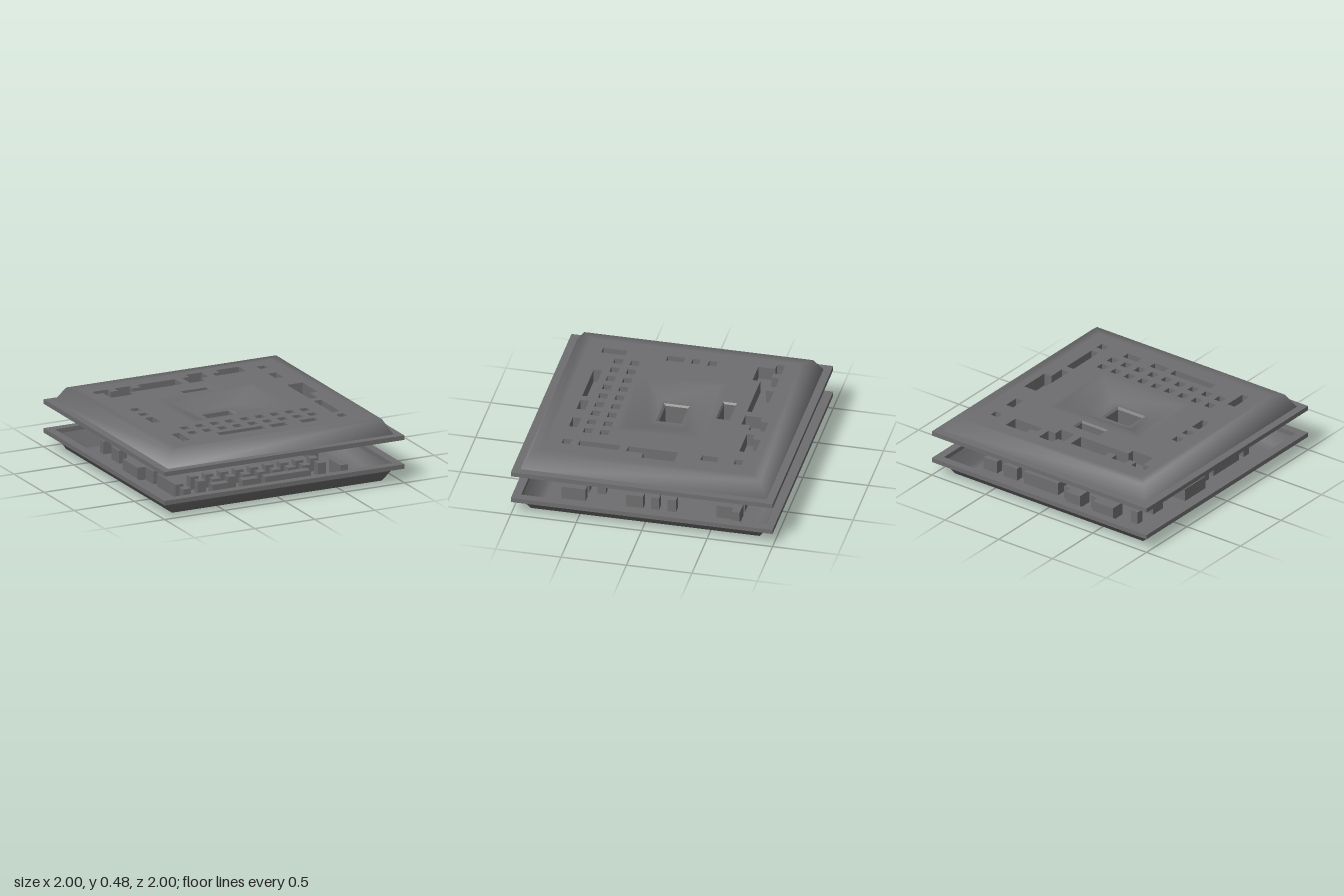
import * as THREE from 'three';

const TOP = 0.48, RIM = 0.37, LIP = 0.335, DISH = 0.4;
const metal = new THREE.MeshStandardMaterial({ color: 0x6e6e70, side: THREE.DoubleSide });
metal.name = 'gunmetal grey';

// Outlines are lists of [x, z], counter-clockwise seen from above
const rect = (x0, x1, z0, z1) => [[x0, z1], [x1, z1], [x1, z0], [x0, z0]];
const square = (h) => rect(-h, h, -h, h);

function toShape(outline, holes = []) {
  const pts = (o) => o.map(([x, z]) => new THREE.Vector2(x, -z));
  const shape = new THREE.Shape(pts(outline));
  shape.holes = holes.map((h) => new THREE.Path(pts(h)));
  return shape;
}

function flatSheet(outline, holes, y) {
  return new THREE.ShapeGeometry(toShape(outline, holes)).rotateX(-Math.PI / 2).translate(0, y, 0);
}

// Skin between successive rings, each { outline, y }
function loft(rings, smooth) {
  const pos = [], index = [], n = rings[0].outline.length;
  rings.forEach(({ outline, y }) => outline.forEach(([x, z]) => pos.push(x, y, z)));
  for (let r = 0; r < rings.length - 1; r++) {
    for (let i = 0; i < n; i++) {
      const j = (i + 1) % n, a = r * n + i, b = r * n + j;
      index.push(a, b, b + n, a, b + n, a + n);
    }
  }
  let g = new THREE.BufferGeometry();
  g.setAttribute('position', new THREE.Float32BufferAttribute(pos, 3));
  g.setIndex(index);
  if (!smooth) g = g.toNonIndexed();
  g.computeVertexNormals();
  return g;
}

function add(group, name, geometry) {
  const mesh = new THREE.Mesh(geometry, metal);
  mesh.name = name;
  group.add(mesh);
}

// Stepped recesses along the back and the side
const stepped = [
  [[-0.75, -0.69], [-0.625, -0.69], [-0.625, -0.63], [-0.565, -0.63], [-0.565, -0.69], [-0.44, -0.69],
    [-0.44, -0.63], [-0.375, -0.63], [-0.375, -0.69], [-0.06, -0.69], [-0.06, -0.56], [-0.5, -0.56],
    [-0.5, -0.5], [-0.69, -0.5], [-0.69, -0.63], [-0.75, -0.63]],
  [[0, -0.69], [0.06, -0.69], [0.06, -0.75], [0.19, -0.75], [0.19, -0.63], [0.125, -0.63], [0.125, -0.56], [0, -0.56]],
  [[0.25, -0.69], [0.31, -0.69], [0.31, -0.75], [0.5, -0.75], [0.5, -0.63], [0.25, -0.63]],
  [[0.62, -0.19], [0.75, -0.19], [0.75, 0.06], [0.685, 0.06], [0.685, 0.19], [0.62, 0.19]],
].map((o) => o.reverse());

function recessOutlines() {
  const list = [...stepped];
  // Right and left columns
  for (const [z0, z1] of [[-0.69, -0.63], [-0.5, -0.375], [0.25, 0.56], [0.62, 0.685]]) list.push(rect(0.62, 0.685, z0, z1));
  for (const [z0, z1] of [[-0.19, -0.125], [-0.06, 0], [0.06, 0.19], [0.5, 0.685]]) list.push(rect(-0.69, -0.625, z0, z1));
  // Front slots
  for (const [x0, x1] of [[-0.375, 0], [0.06, 0.19], [0.31, 0.44]]) list.push(rect(x0, x1, 0.62, 0.685));
  // Two rows of small square recesses
  for (let i = 0; i < 9; i++) {
    const x = -0.565 + i * 0.125;
    for (const z of [0.375, 0.5]) list.push(rect(x, x + 0.065, z, z + 0.065));
  }
  return list;
}

function createPanel(name) {
  const panel = new THREE.Group();
  panel.name = name;

  // Outer rim
  const rim = new THREE.ExtrudeGeometry(toShape(square(1), [square(0.935)]), { depth: RIM - LIP, bevelEnabled: false });
  add(panel, 'rim', rim.rotateX(-Math.PI / 2).translate(0, LIP, 0));

  // Sloping edge blending softly into the face
  add(panel, 'slopedEdge', loft([
    { outline: square(0.94), y: RIM }, { outline: square(0.875), y: TOP }, { outline: square(0.8), y: TOP },
  ], true));

  // Flat face with all openings
  const recesses = recessOutlines();
  const dishEdge = rect(-0.42, 0.42, -0.34, 0.34);
  const slotEdge = rect(-0.155, 0.09, -0.465, -0.355);
  add(panel, 'face', flatSheet(square(0.8), [...recesses, dishEdge, slotEdge], TOP));

  // Shallow recesses
  recesses.forEach((outline) => {
    add(panel, 'recessWall', loft([{ outline, y: TOP }, { outline, y: TOP - 0.1 }]));
    add(panel, 'recessFloor', flatSheet(outline, [], TOP - 0.1));
  });

  // Deep slot behind the centre
  const slot = rect(-0.145, 0.08, -0.45, -0.365);
  add(panel, 'slotWall', loft([{ outline: slotEdge, y: TOP }, { outline: slot, y: TOP - 0.015 }, { outline: slot, y: 0.275 }]));
  add(panel, 'slotFloor', flatSheet(slot, [], 0.275));

  // Dished centre with a deep square well
  const wellEdge = rect(-0.16, 0.095, -0.1, 0.1);
  const well = rect(-0.15, 0.08, -0.087, 0.083);
  add(panel, 'dish', loft([
    { outline: dishEdge, y: TOP }, { outline: rect(-0.36, 0.36, -0.27, 0.27), y: TOP },
    { outline: rect(-0.21, 0.17, -0.14, 0.14), y: DISH }, { outline: wellEdge, y: DISH },
  ], true));
  add(panel, 'wellWall', loft([{ outline: wellEdge, y: DISH }, { outline: well, y: DISH - 0.015 }, { outline: well, y: 0.23 }]));
  add(panel, 'wellFloor', flatSheet(well, [], 0.23));
  return panel;
}

export function createModel() {
  const model = new THREE.Group();
  model.name = 'panelPair';
  const lower = createPanel('lowerPanel');
  // The lower panel is the upper one turned over about the z axis
  lower.rotation.z = Math.PI;
  lower.position.y = TOP;
  model.add(createPanel('upperPanel'), lower);
  return model;
}
